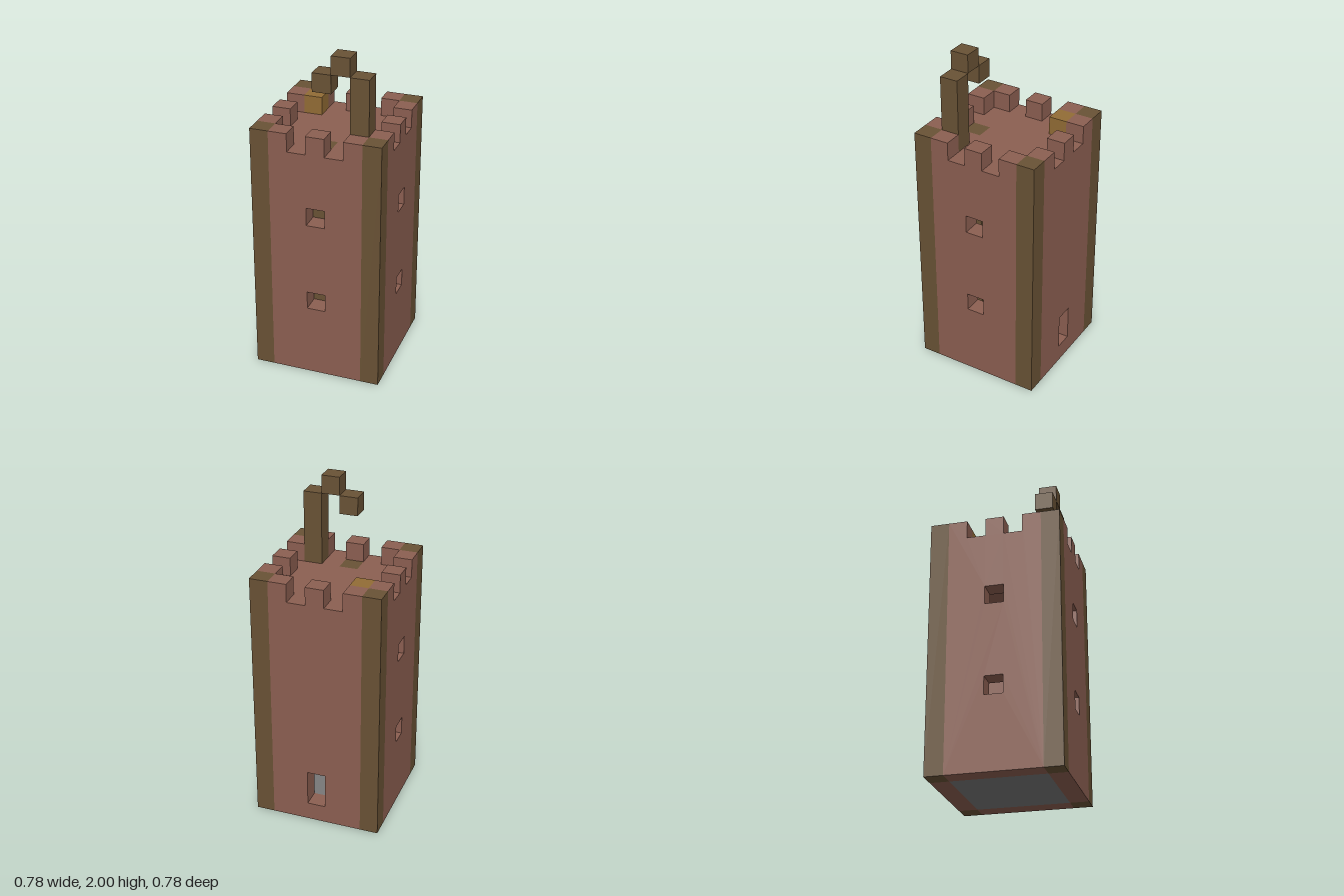
import * as THREE from 'three';

const U = 1 / 9; // one block

const material = (name, color) => {
  const m = new THREE.MeshStandardMaterial({ color });
  m.name = name;
  return m;
};

export function createModel() {
  const brick = material('brick red', 0x8c5f51);
  const wood = material('dark wood', 0x695235);
  const gold = material('gold', 0x926c35);
  const stone = material('grey stone', 0x777777);

  const tower = new THREE.Group();
  tower.name = 'tower';

  const add = (name, geometry, mat, parent = tower) => {
    const mesh = new THREE.Mesh(geometry, mat);
    mesh.name = name;
    parent.add(mesh);
    return mesh;
  };

  // Box given in blocks: centre x and z, bottom y, size
  const block = (name, mat, x, y, z, h = 1, w = 1, d = 1) => {
    const g = new THREE.BoxGeometry(w, h, d).translate(x, y + h / 2, z);
    return add(name, g, mat);
  };

  const points = (list) => list.map(([x, y]) => new THREE.Vector2(x, y));
  const extrude = (shape) => new THREE.ExtrudeGeometry(shape, { depth: 1, bevelEnabled: false });

  // Battlemented wall with openings [bottom, top] one block wide
  const wall = (name, angle, openings) => {
    const shape = new THREE.Shape(points([
      [-2.5, 0], [2.5, 0], [2.5, 14], [1.5, 14], [1.5, 13], [0.5, 13], [0.5, 14],
      [-0.5, 14], [-0.5, 13], [-1.5, 13], [-1.5, 14], [-2.5, 14],
    ]));
    for (const [a, b] of openings) {
      shape.holes.push(new THREE.Path(points([[-0.5, a], [-0.5, b], [0.5, b], [0.5, a]])));
    }
    add(name, extrude(shape).translate(0, 0, 2.5).rotateY(angle), brick);
  };
  const windows = [[4, 5], [9, 10]];
  wall('frontWall', 0, windows);
  wall('leftWall', Math.PI / 2, windows);
  wall('backWall', Math.PI, [[1, 3]]);
  wall('rightWall', -Math.PI / 2, windows);

  // Timber corner posts
  for (const x of [-3, 3]) for (const z of [-3, 3]) block('cornerPost', wood, x, 0, z, 14);

  // Floor, and roof deck notched around the inner post
  block('floor', stone, 0, 0, 0, 1, 5, 5);
  const deck = new THREE.Shape(points([
    [-2.5, -2.5], [2.5, -2.5], [2.5, 2.5], [0.5, 2.5],
    [0.5, 1.5], [-0.5, 1.5], [-0.5, 2.5], [-2.5, 2.5],
  ]));
  add('roofDeck', extrude(deck).rotateX(Math.PI / 2).translate(0, 13, 0), brick);
  block('innerPost', wood, 0, 1, 2, 12);

  // Hooked mast and gold block on the roof
  block('mast', wood, 2, 13, 2, 4);
  block('mastArm', wood, 1, 17, 2);
  block('mastHook', wood, 0, 16, 2);
  block('goldBlock', gold, -2, 13, -2);

  tower.scale.setScalar(U);
  const model = new THREE.Group();
  model.name = 'watchtower';
  model.add(tower);
  return model;
}
